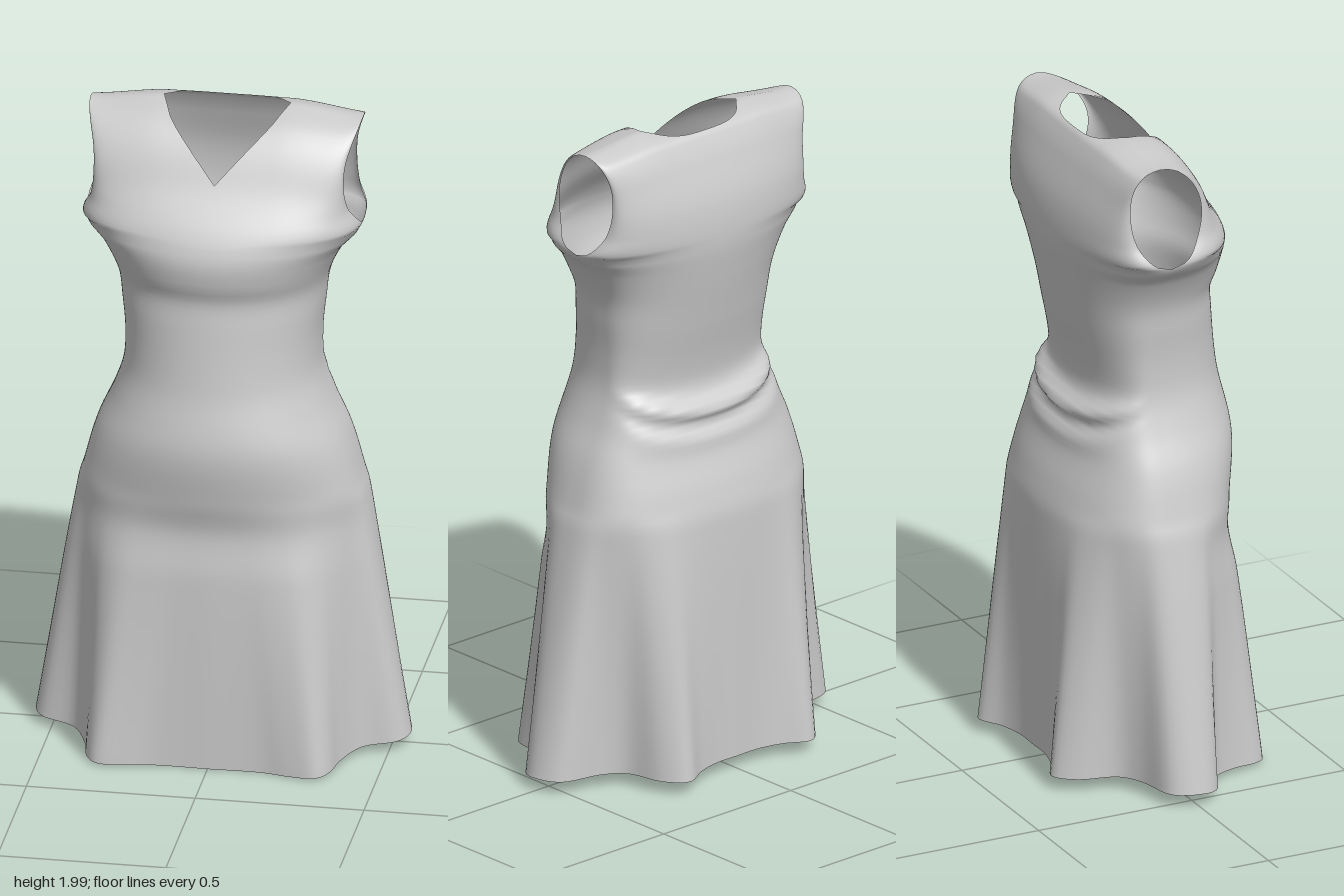
import * as THREE from 'three';
import { mergeVertices } from 'three/addons/utils/BufferGeometryUtils.js';

// Smooth profile through [y, value] knots
function profile(knots) {
  const slope = (i) => {
    const a = knots[Math.max(i - 1, 0)], b = knots[Math.min(i + 1, knots.length - 1)];
    return (b[1] - a[1]) / (b[0] - a[0]);
  };
  return (y) => {
    if (y <= knots[0][0]) return knots[0][1];
    let i = 0;
    while (i < knots.length - 2 && y > knots[i + 1][0]) i++;
    const [y0, v0] = knots[i], [y1, v1] = knots[i + 1];
    const h = y1 - y0, t = Math.min((y - y0) / h, 1), t2 = t * t, t3 = t2 * t;
    return (2 * t3 - 3 * t2 + 1) * v0 + (t3 - 2 * t2 + t) * h * slope(i)
      + (3 * t2 - 2 * t3) * v1 + (t3 - t2) * h * slope(i + 1);
  };
}

// Half width, front depth, back depth and side seam depth by height
const width = profile([[0, 0.42], [0.8, 0.42], [0.9, 0.4], [1, 0.37], [1.1, 0.325], [1.2, 0.293],
  [1.3, 0.288], [1.4, 0.297], [1.5, 0.312], [1.6, 0.36], [1.66, 0.41], [1.74, 0.38],
  [1.82, 0.37], [1.9, 0.375], [2, 0.405]]);
const front = profile([[0, 0.29], [0.6, 0.285], [0.74, 0.272], [0.85, 0.3], [1.02, 0.325], [1.2, 0.292],
  [1.4, 0.27], [1.48, 0.265], [1.54, 0.285], [1.62, 0.292], [1.7, 0.26], [1.8, 0.185],
  [1.9, 0.125], [1.95, 0.08], [1.98, 0.03], [2, -0.055]]);
const back = profile([[0, -0.27], [0.8, -0.265], [0.9, -0.245], [1, -0.212], [1.05, -0.205], [1.085, -0.178],
  [1.12, -0.2], [1.16, -0.155], [1.22, -0.145], [1.4, -0.18], [1.55, -0.21], [1.66, -0.226],
  [1.78, -0.218], [1.9, -0.18], [1.96, -0.152], [1.98, -0.135], [1.99, -0.105], [2, -0.055]]);
const seam = profile([[0, 0], [0.8, -0.01], [1.4, -0.02], [1.66, -0.02], [1.85, -0.02], [2, -0.055]]);

// Wavy hem outline, from centre front round the side to centre back
const hem = new THREE.SplineCurve([
  [0, 0.29], [0.15, 0.29], [0.24, 0.31], [0.32, 0.32], [0.36, 0.28], [0.38, 0.2], [0.43, 0.11], [0.53, 0.07],
  [0.56, 0], [0.52, -0.08], [0.4, -0.11], [0.33, -0.16], [0.3, -0.27], [0.24, -0.33], [0.16, -0.29],
  [0.08, -0.27], [0, -0.27],
].map(([x, z]) => new THREE.Vector2(x, z)));

const UNDERARM = 1.66, TOP = 2, NECK = 0.18;
const LOWER = 90, UPPER = 44, COLS = 72;

// Skirt and bodice below the armholes
function lowerPoint(t, v) {
  const c = Math.cos(t), s = Math.sin(t), a = Math.abs(s);
  const isFront = s >= 0;
  const y = THREE.MathUtils.lerp(0.045 - 0.04 * Math.max(0, s), UNDERARM, v);
  // the gathers at the back waist climb towards the sides
  const yBack = y - 0.1 * (1 - a) * Math.exp(-(((y - 1.12) / 0.12) ** 2));
  const zs = seam(y), depth = isFront ? front(y) : back(yBack);
  let x = width(y) * c;
  let z = zs + (depth - zs) * Math.pow(a, 0.8);
  const k = THREE.MathUtils.clamp((0.85 - y) / 0.83, 0, 1);
  if (k > 0) {
    const h = hem.getPoint(Math.acos(THREE.MathUtils.clamp(s, -1, 1)) / Math.PI);
    x = THREE.MathUtils.lerp(x, Math.sign(c) * h.x, k);
    z = THREE.MathUtils.lerp(z, h.y, k);
  }
  return [x, y, z];
}

// Bodice beside the armholes, up to the neckline and shoulder seam
function upperPoint(t, v, isFront) {
  const c = Math.cos(t), a = Math.abs(Math.sin(t));
  const n = Math.min(Math.abs(0.4 * c) / NECK, 1);
  const top = isFront ? 1.82 + 0.18 * n : 1.98 + 0.02 * n ** 3;
  const w = v * (2 - v) * 0.6 + v * 0.4;
  const y = THREE.MathUtils.lerp(UNDERARM, top, w);
  const e = (y - 1.83) / 0.17;
  const arm = 0.115 * Math.sqrt(Math.max(0, 1 - e * e));
  const zs = seam(y) + (isFront ? arm : -arm);
  const z = zs + ((isFront ? front(y) : back(y)) - zs) * Math.pow(a, 0.8);
  const drop = 0.02 * THREE.MathUtils.smoothstep(Math.abs(0.4 * c), NECK, 0.4);
  return [width(y) * c, y - drop * w, z];
}

function dressGeometry() {
  const positions = [], index = [];
  for (const isFront of [true, false]) {
    const base = positions.length / 3;
    for (let j = 0; j <= LOWER + UPPER; j++) {
      for (let i = 0; i <= COLS; i++) {
        const t = (isFront ? 0 : Math.PI) + (Math.PI * i) / COLS;
        positions.push(...(j <= LOWER
          ? lowerPoint(t, j / LOWER)
          : upperPoint(t, (j - LOWER) / UPPER, isFront)));
      }
    }
    for (let j = 0; j < LOWER + UPPER; j++) {
      for (let i = 0; i < COLS; i++) {
        const p = base + j * (COLS + 1) + i, q = p + COLS + 1;
        index.push(p, q, p + 1, p + 1, q, q + 1);
      }
    }
  }
  const g = new THREE.BufferGeometry();
  g.setAttribute('position', new THREE.Float32BufferAttribute(positions, 3));
  g.setIndex(index);
  // join the side and shoulder seams so shading runs across them
  const joined = mergeVertices(g, 1e-4);
  joined.computeVertexNormals();
  return joined;
}

export function createModel() {
  const group = new THREE.Group();
  group.name = 'sleevelessDress';
  const cloth = new THREE.MeshStandardMaterial({ color: 0xcccccc, side: THREE.DoubleSide });
  const dress = new THREE.Mesh(dressGeometry(), cloth);
  dress.name = 'dressCloth';
  dress.position.y = -0.005;
  group.add(dress);
  return group;
}
